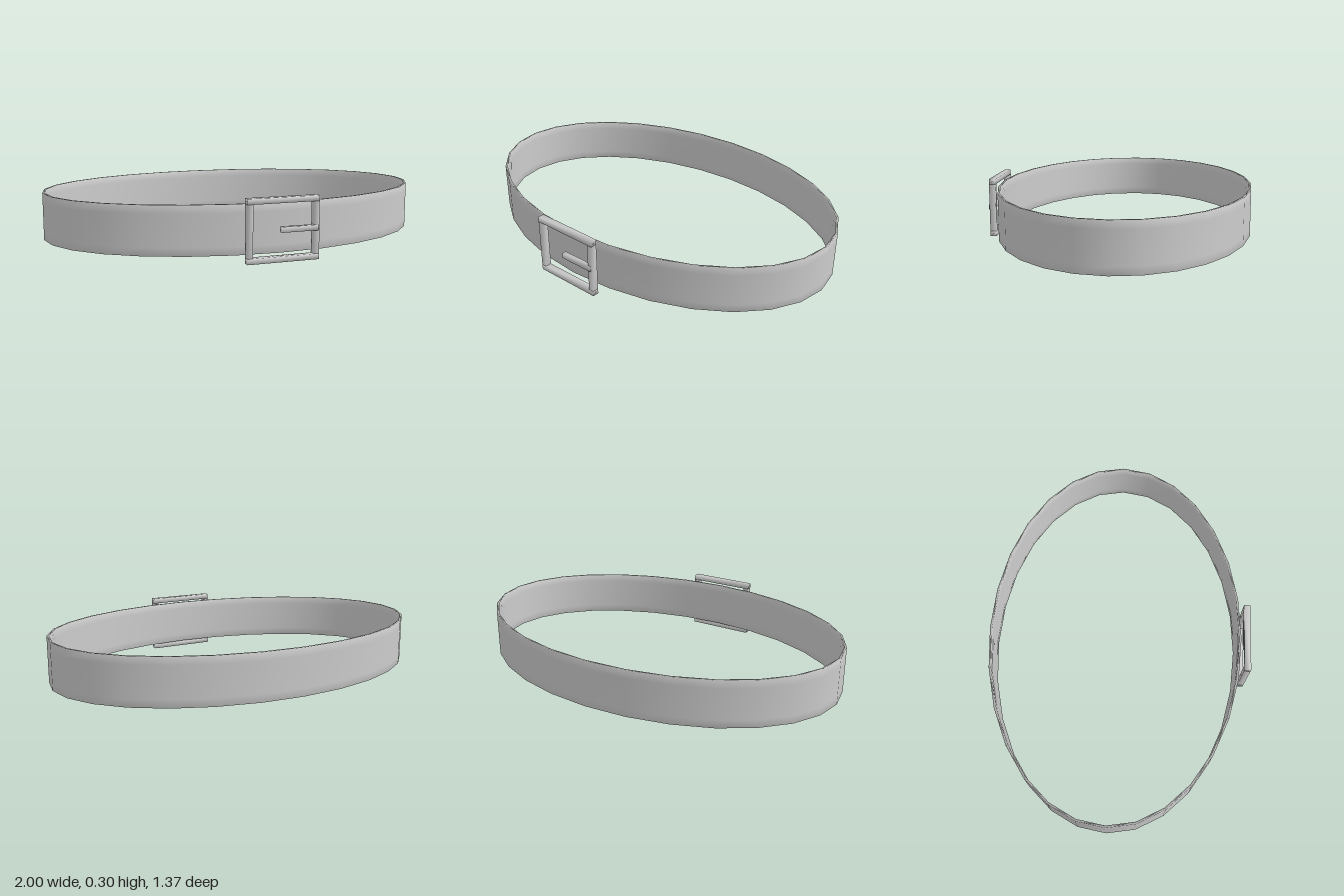
import * as THREE from 'three';
import { mergeVertices } from 'three/addons/utils/BufferGeometryUtils.js';

const RX = 1, RZ = 0.66, CENTER_Z = -0.024, SEGMENTS = 28;

// Closed elliptical band: a thin rectangular section swept around, with shared smooth normals
function bandGeometry() {
  const t = 0.012, lo = 0.035, hi = 0.272, soft = 0.04;
  // section as [inset, y]: up the outside, then down the inside
  const section = [
    [0, lo], [0, lo + soft], [0, hi - soft], [0, hi],
    [t, hi], [t, hi - soft], [t, lo + soft], [t, lo],
  ];
  const n = section.length, pos = [], index = [];
  for (let i = 0; i < SEGMENTS; i++) {
    const a = (i / SEGMENTS) * Math.PI * 2;
    for (const [inset, y] of section) {
      pos.push(Math.sin(a) * (RX - inset), y, Math.cos(a) * (RZ - inset) + CENTER_Z);
    }
    for (let j = 0; j < n; j++) {
      const i2 = (i + 1) % SEGMENTS, j2 = (j + 1) % n;
      const p = i * n + j, q = i2 * n + j, r = i2 * n + j2, s = i * n + j2;
      index.push(p, q, r, p, r, s);
    }
  }
  const g = new THREE.BufferGeometry();
  g.setAttribute('position', new THREE.Float32BufferAttribute(pos, 3));
  g.setIndex(index);
  g.computeVertexNormals();
  return g;
}

// Box with normals blended across its corners
function softBox(x0, x1, y0, y1, z0, z1) {
  let g = new THREE.BoxGeometry(x1 - x0, y1 - y0, z1 - z0);
  g.deleteAttribute('normal');
  g.deleteAttribute('uv');
  g = mergeVertices(g);
  g.computeVertexNormals();
  g.translate((x0 + x1) / 2, (y0 + y1) / 2, (z0 + z1) / 2);
  return g;
}

export function createModel() {
  const grey = new THREE.MeshStandardMaterial({ color: 0xcccccc });
  grey.name = 'plainGrey';
  const add = (parent, name, geometry) => {
    const m = new THREE.Mesh(geometry, grey);
    m.name = name;
    parent.add(m);
  };

  const model = new THREE.Group();
  model.name = 'belt';
  add(model, 'strap', bandGeometry());

  // Square buckle frame standing just in front of the strap
  const buckle = new THREE.Group();
  buckle.name = 'buckle';
  const L = -0.18, R = 0.177, H = 0.302, bar = 0.027, z0 = 0.647, z1 = 0.68;
  add(buckle, 'topBar', softBox(L, R, H - bar, H, z0, z1));
  add(buckle, 'bottomBar', softBox(L, R, 0, bar, z0, z1));
  add(buckle, 'rightBar', softBox(L, L + bar, bar, H - bar, z0, z1));
  add(buckle, 'leftBar', softBox(R - bar, R, bar, H - bar, z0, z1));
  // Prong resting over the left bar
  add(buckle, 'prong', softBox(-0.016, 0.168, 0.139, 0.165, 0.664, 0.687));
  model.add(buckle);

  return model;
}
